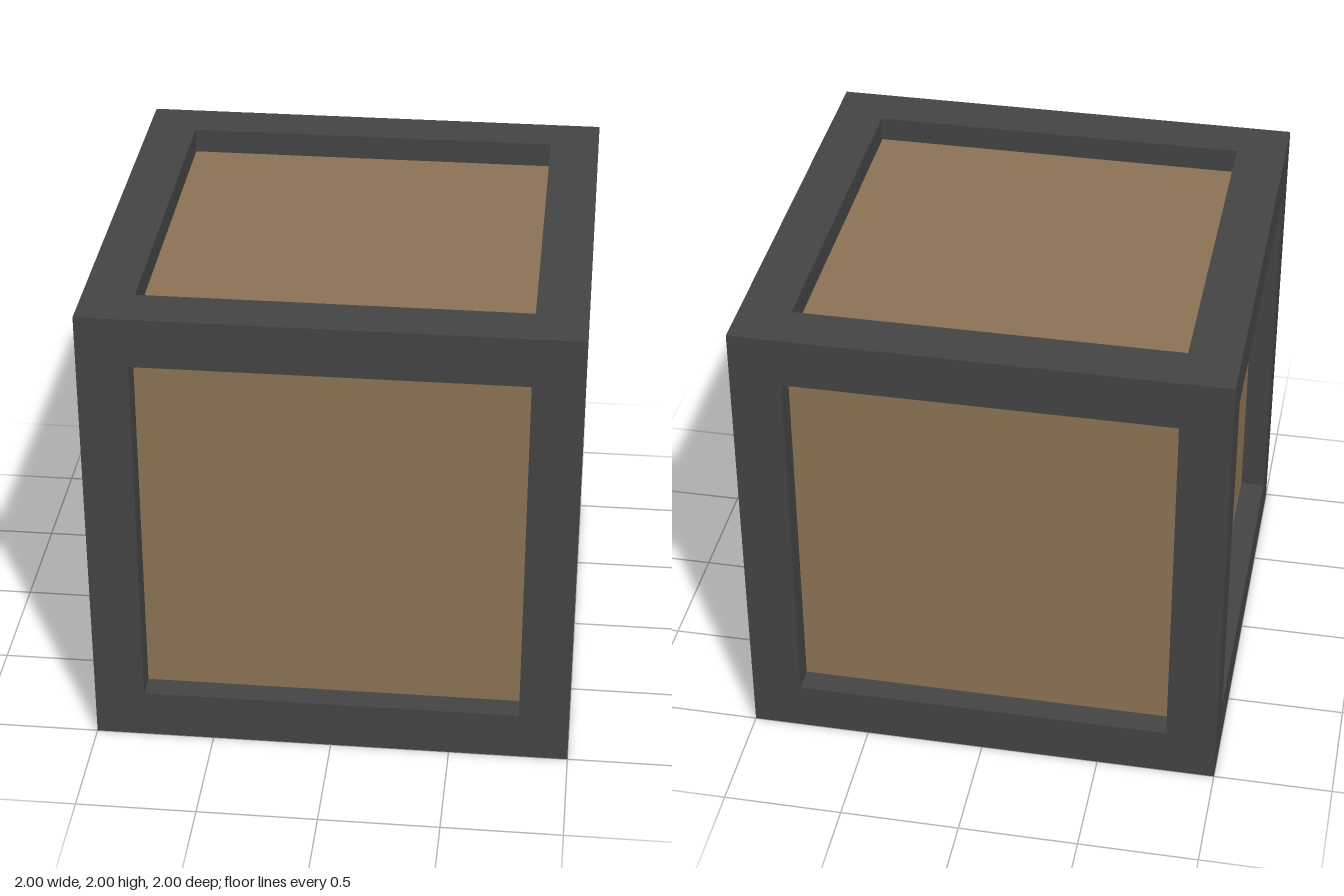
import * as THREE from 'three';

const SIZE = 2;      // outer edge of the crate
const BAR = 0.21;    // thickness of the frame bars
const RECESS = 0.105; // how deep the panels sit behind the frame

export function createModel() {
  const crate = new THREE.Group();
  crate.name = 'crate';
  const wood = new THREE.MeshStandardMaterial({ color: 0x8b7355 });
  const metal = new THREE.MeshStandardMaterial({ color: 0x444444 });

  const addBox = (parent, name, size, position, material) => {
    const mesh = new THREE.Mesh(new THREE.BoxGeometry(...size), material);
    mesh.name = name;
    mesh.position.set(...position);
    parent.add(mesh);
  };

  // Inner box, seen as a recessed panel on each side
  const core = SIZE - 2 * RECESS;
  addBox(crate, 'innerBox', [core, core, core], [0, SIZE / 2, 0], wood);

  // Twelve frame bars: full-height posts, with rails fitted between them
  const frame = new THREE.Group();
  frame.name = 'frame';
  frame.position.y = SIZE / 2;
  crate.add(frame);
  const off = (SIZE - BAR) / 2;
  const span = SIZE - 2 * BAR;
  for (const a of [-off, off]) {
    for (const b of [-off, off]) {
      addBox(frame, 'cornerPost', [BAR, SIZE, BAR], [a, 0, b], metal);
      addBox(frame, 'crossRail', [span, BAR, BAR], [0, a, b], metal);
      addBox(frame, 'sideRail', [BAR, BAR, span], [a, b, 0], metal);
    }
  }
  return crate;
}
